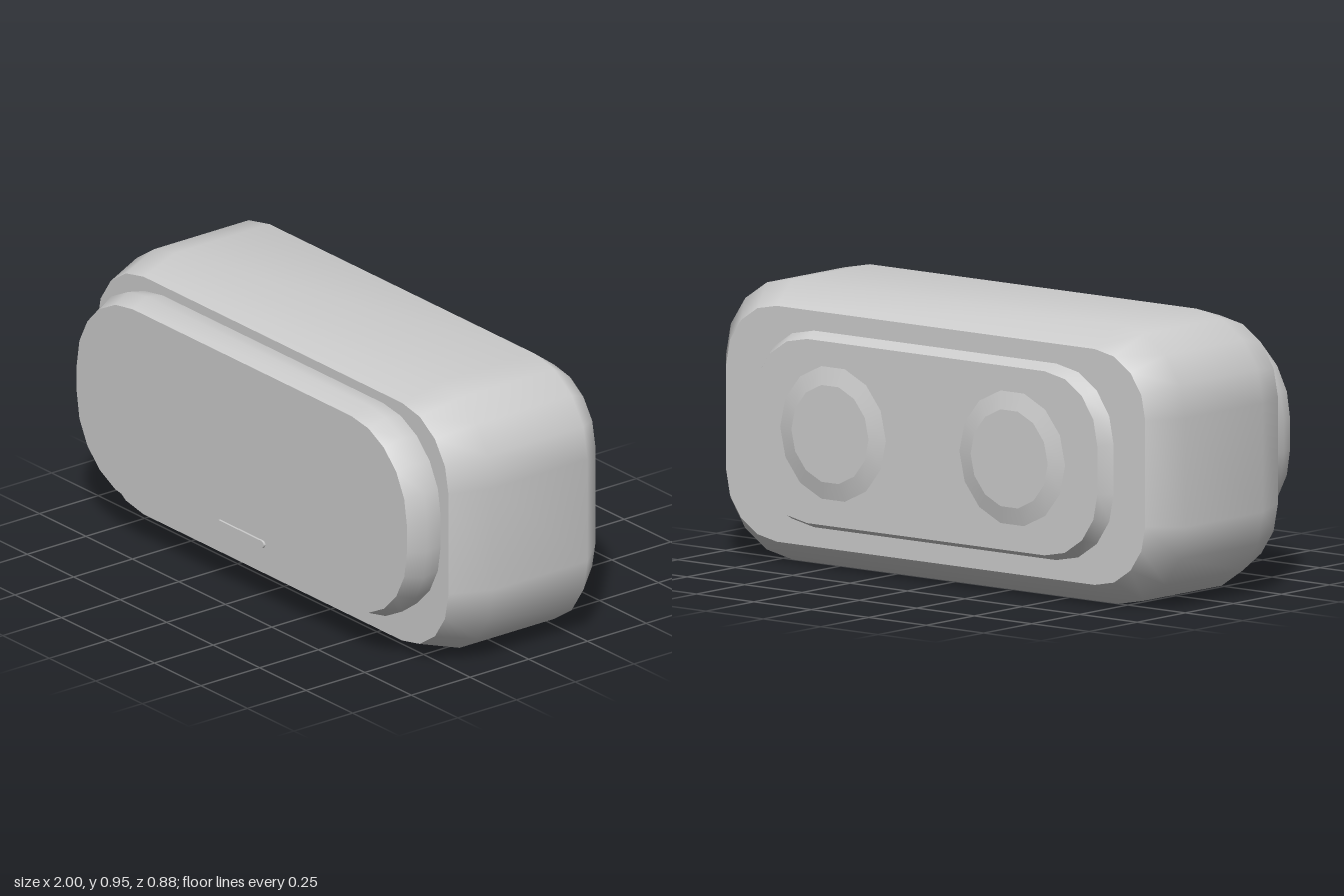
import * as THREE from 'three';

// Outline of a rounded rectangle, counter-clockwise seen from +z
function outline({ w, y0, y1, r }, segs) {
  const pts = [], cy = (y0 + y1) / 2, h = (y1 - y0) / 2;
  const corners = [[1, 1], [-1, 1], [-1, -1], [1, -1]];
  corners.forEach(([sx, sy], q) => {
    for (let i = 0; i <= segs; i++) {
      const a = (q + i / segs) * Math.PI / 2;
      pts.push([sx * (w - r) + r * Math.cos(a), cy + sy * (h - r) + r * Math.sin(a)]);
    }
  });
  return pts;
}

// Smooth skin through sections ordered front to back, with flat sharp-edged caps
function loft(sections, segs) {
  const pos = [], idx = [];
  const rings = sections.map((s) => outline(s, segs));
  const n = rings[0].length;
  rings.forEach((ring, k) => ring.forEach(([x, y]) => pos.push(x, y, sections[k].z)));
  for (let k = 0; k < rings.length - 1; k++) {
    for (let i = 0; i < n; i++) {
      const j = (i + 1) % n, a = k * n + i, b = k * n + j;
      idx.push(a, a + n, b, b, a + n, b + n);
    }
  }
  [0, rings.length - 1].forEach((k) => {
    const s = sections[k], c = pos.length / 3;
    pos.push(0, (s.y0 + s.y1) / 2, s.z);
    rings[k].forEach(([x, y]) => pos.push(x, y, s.z));
    for (let i = 0; i < n; i++) {
      const a = c + 1 + i, b = c + 1 + (i + 1) % n;
      if (k === 0) idx.push(c, a, b);
      else idx.push(c, b, a);
    }
  });
  const geo = new THREE.BufferGeometry();
  geo.setAttribute('position', new THREE.Float32BufferAttribute(pos, 3));
  geo.setIndex(idx);
  geo.computeVertexNormals();
  return geo;
}

export function createModel() {
  const group = new THREE.Group();
  const grey = new THREE.MeshStandardMaterial({ color: 0xcccccc });
  grey.name = 'light grey';

  const add = (name, geo) => {
    const mesh = new THREE.Mesh(geo, grey);
    mesh.name = name;
    group.add(mesh);
    return mesh;
  };

  // Main shell, tapered at the front and back
  add('body', loft([
    { z: 0.298, w: 0.945, y0: 0.045, y1: 0.905, r: 0.25 },
    { z: 0.153, w: 1.0, y0: 0, y1: 0.948, r: 0.29 },
    { z: -0.25, w: 1.0, y0: 0, y1: 0.948, r: 0.29 },
    { z: -0.353, w: 0.912, y0: 0.075, y1: 0.873, r: 0.22 },
  ], 4));

  // Raised front cover with a bevelled rim
  add('frontPanel', loft([
    { z: 0.43, w: 0.888, y0: 0.16, y1: 0.857, r: 0.3 },
    { z: 0.366, w: 0.914, y0: 0.135, y1: 0.884, r: 0.32 },
    { z: 0.298, w: 0.903, y0: 0.147, y1: 0.871, r: 0.31 },
  ], 5));

  // Slim bar low on the front cover
  add('frontSlot', loft([
    { z: 0.438, w: 0.127, y0: 0.226, y1: 0.251, r: 0.012 },
    { z: 0.43, w: 0.127, y0: 0.226, y1: 0.251, r: 0.012 },
  ], 3));

  // Plate on the back that carries the lenses
  add('backPlate', loft([
    { z: -0.356, w: 0.777, y0: 0.142, y1: 0.807, r: 0.25 },
    { z: -0.405, w: 0.747, y0: 0.163, y1: 0.786, r: 0.23 },
  ], 4));

  // Pair of shallow bevelled lens discs
  for (const side of [1, -1]) {
    const geo = new THREE.CylinderGeometry(0.168, 0.23, 0.016, 14);
    geo.rotateY(Math.PI / 2);
    geo.rotateX(-Math.PI / 2);
    const lens = add(side > 0 ? 'leftLens' : 'rightLens', geo);
    lens.position.set(side * 0.39, 0.48, -0.429);
  }

  return group;
}
